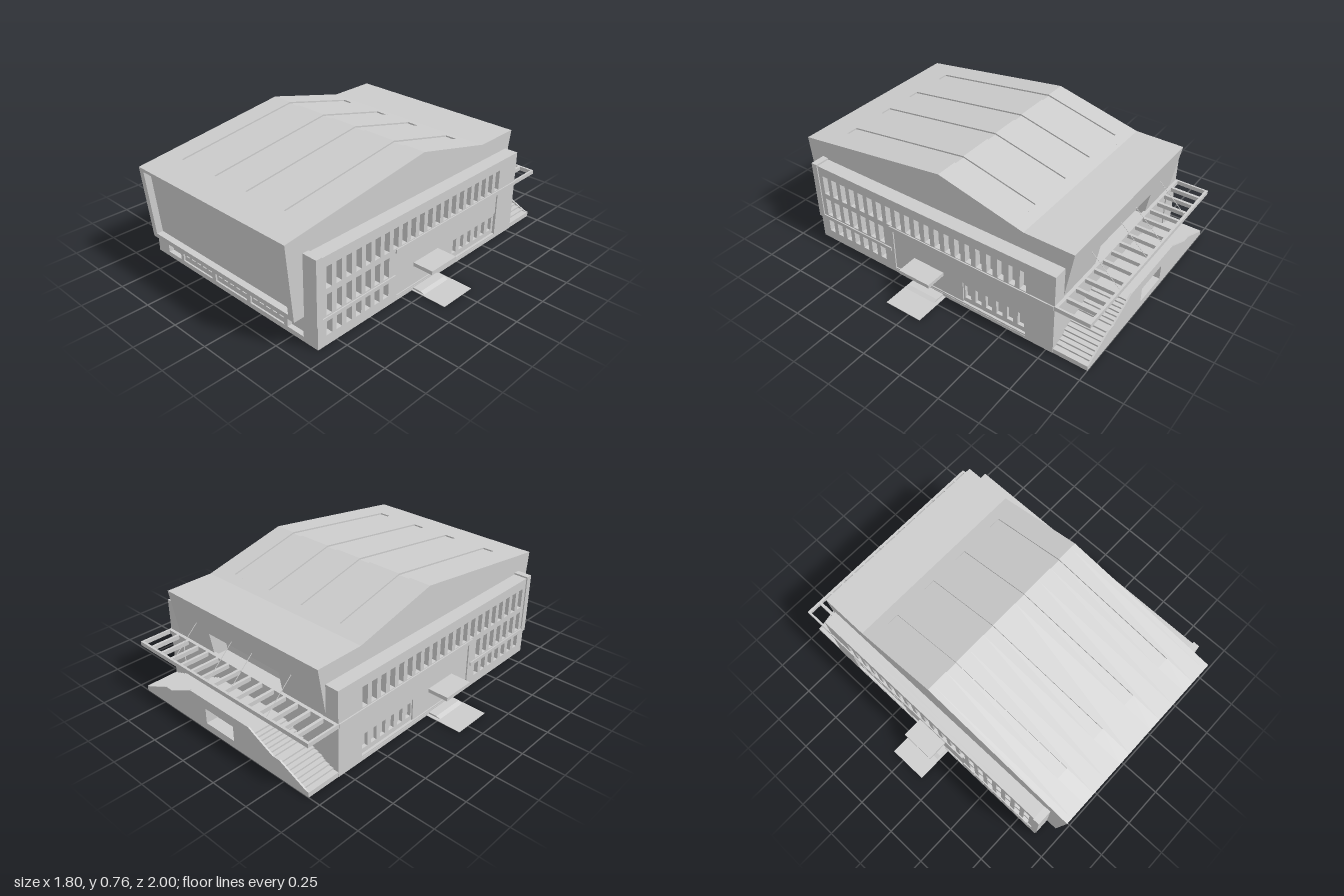
import * as THREE from 'three';

export function createModel() {
  const model = new THREE.Group();
  const mat = new THREE.MeshStandardMaterial({ color: 0xcccccc, flatShading: true });

  const add = (name, geometry) => {
    const mesh = new THREE.Mesh(geometry, mat);
    mesh.name = name;
    model.add(mesh);
    return mesh;
  };
  // Box given by its limits on each axis
  const box = (name, x0, x1, y0, y1, z0, z1) => {
    const mesh = add(name, new THREE.BoxGeometry(x1 - x0, y1 - y0, z1 - z0));
    mesh.position.set((x0 + x1) / 2, (y0 + y1) / 2, (z0 + z1) / 2);
    return mesh;
  };
  const mirrorBox = (name, x0, x1, ...rest) => {
    box(name, x0, x1, ...rest);
    box(name, -x1, -x0, ...rest);
  };
  const rect = (x0, x1, y0, y1) =>
    [[x0, y0], [x1, y0], [x1, y1], [x0, y1]].map(p => new THREE.Vector2(...p));
  const extrude = (points, depth, holes = []) => {
    const shape = new THREE.Shape(points.map(p => p.isVector2 ? p : new THREE.Vector2(...p)));
    holes.forEach(h => shape.holes.push(new THREE.Path(h)));
    return new THREE.ExtrudeGeometry(shape, { depth, bevelEnabled: false });
  };
  // Extrusion of a (z, y) outline running between two x values
  const extrudeX = (name, points, x0, x1, holes) => {
    const mesh = add(name, extrude(points, x1 - x0, holes));
    mesh.rotation.y = -Math.PI / 2;
    mesh.position.x = x1;
  };
  const row = (start, count, pitch, width, y0, y1) =>
    Array.from({ length: count }, (_, i) => rect(start + i * pitch, start + i * pitch + width, y0, y1));

  // Base and cores behind the walls
  box('groundSlab', -0.675, 0.675, 0, 0.03, -1, 0.88);
  box('baseCore', -0.64, 0.64, 0.02, 0.31, -0.785, 0.85);
  mirrorBox('galleryCore', 0.5, 0.64, 0.16, 0.51, -0.785, 0.84);

  // Main hall, in slices across x: roof grooves, recessed front, back window notch
  const grooves = [[-0.455, -0.38], [-0.165, -0.09], [0.09, 0.165], [0.38, 0.455]];
  const half = [0.09, 0.165, 0.28, 0.38, 0.455, 0.555, 0.592];
  const cuts = [...half.map(x => -x).reverse(), ...half];
  const roofY = z => 0.757 - (z > 0 ? z * 0.137 : -z * 0.244);
  const frontZ = y => 0.957 + (y - 0.165) * 0.0945;
  for (let i = 0; i < cuts.length - 1; i++) {
    const x0 = cuts[i], x1 = cuts[i + 1], mid = (x0 + x1) / 2;
    const p = [[0.957, 0.165]];
    if (Math.abs(mid) < 0.555) {
      p.push([frontZ(0.195), 0.195], [frontZ(0.195) - 0.04, 0.195], [frontZ(0.6) - 0.04, 0.6], [frontZ(0.6), 0.6]);
    }
    p.push([1, 0.62]);
    if (grooves.some(g => mid > g[0] && mid < g[1])) {
      const d = 0.009;
      p.push([0.81, roofY(0.81)], [0.81, roofY(0.81) - d], [0, 0.757 - d],
        [-0.47, roofY(-0.47) - d], [-0.47, roofY(-0.47)]);
    } else p.push([0, 0.757]);
    p.push([-0.54, 0.625], [-0.84, 0.625]);
    if (Math.abs(mid) < 0.28) p.push([-0.812, 0.46], [-0.7, 0.46], [-0.7, 0.31]);
    else p.push([-0.79, 0.33]);
    p.push([-0.7, 0.165]);
    extrudeX('hall', p, x0, x1);
  }

  // Side walls: an outer skin over an inner skin, both pierced by the windows
  const windows = [
    ...row(-0.62, 21, 0.07, 0.04, 0.335, 0.46),
    ...row(0.36, 7, 0.07, 0.04, 0.18, 0.3),
    ...row(0.36, 7, 0.07, 0.04, 0.06, 0.148),
  ];
  const bay = row(-0.6, 6, 0.07, 0.04, 0.06, 0.148);
  const wall = rect(-0.79, 0.88, 0, 0.52);
  const panel = rect(-0.62, 0.29, 0.02, 0.3);
  const bayFrame = rect(-0.62, -0.2, 0.022, 0.168);
  for (const s of [-1, 1]) {
    const layer = (name, a, b, outline, holes) =>
      extrudeX(name, outline, Math.min(s * a, s * b), Math.max(s * a, s * b), holes);
    layer('sideWallOuter', 0.669, 0.677, wall, [...windows, panel]);
    layer('sideWallPanel', 0.661, 0.669, wall, [...windows, bayFrame]);
    layer('sideWallInner', 0.635, 0.661, wall, [...windows, ...bay]);
  }
  mirrorBox('galleryRoof', 0.58, 0.677, 0.5, 0.52, -0.79, 0.85);
  mirrorBox('galleryBackWall', 0.57, 0.677, 0.02, 0.52, -0.792, -0.77);
  mirrorBox('frontFin', 0.58, 0.684, 0.15, 0.53, 0.85, 0.89);
  mirrorBox('lowerSideBeam', 0.66, 0.684, 0.15, 0.172, 0.31, 0.87);
  mirrorBox('upperSideBand', 0.66, 0.684, 0.305, 0.33, -0.79, 0.31);
  box('frontOverhang', -0.67, 0.67, 0.148, 0.167, 0.82, 0.885);

  // Front ground floor
  const frontHoles = [rect(-0.575, -0.455, 0.02, 0.13), rect(0.455, 0.575, 0.02, 0.13)];
  const frames = [];
  for (const x of [-0.43, -0.133, 0.164]) {
    frames.push(rect(x, x + 0.266, 0.015, 0.145));
    frontHoles.push(...row(x + 0.012, 5, 0.052, 0.034, 0.06, 0.145));
  }
  add('frontWallInner', extrude(rect(-0.67, 0.67, 0, 0.15), 0.03, frontHoles)).position.z = 0.84;
  add('frontWallOuter', extrude(rect(-0.67, 0.67, 0, 0.15), 0.01, [...frontHoles.slice(0, 2), ...frames])).position.z = 0.87;

  // Side entrances: canopy, step with sloped edge, paved apron
  mirrorBox('entranceCanopy', 0.65, 0.797, 0.147, 0.17, -0.065, 0.145);
  mirrorBox('paving', 0.66, 0.902, 0, 0.003, -0.08, 0.16);
  for (const s of [-1, 1]) {
    const step = [[0.66, 0.002], [0.757, 0.002], [0.73, 0.013], [0.66, 0.013]].map(([x, y]) => [s * x, y]);
    add('entranceStep', extrude(step, 0.21)).position.z = -0.06;
  }

  // Back terrace: central landing with two flights of stairs down to each side
  const stairs = [];
  const flight = (x0, x1, y0, y1, n) => {
    for (let i = 0; i < n; i++) {
      const x = x0 + (x1 - x0) * i / (n - 1);
      stairs.push([x, y0 + (y1 - y0) * i / n], [x, y0 + (y1 - y0) * (i + 1) / n]);
    }
  };
  flight(0.27, 0.42, 0.17, 0.1, 7);
  flight(0.47, 0.64, 0.1, 0.03, 7);
  const mirrored = pts => [...pts, ...pts.map(([x, y]) => [-x, y]).reverse()];
  const stairOutline = mirrored([...stairs, [0.64, 0.01]]);
  const niche = rect(-0.115, 0.115, 0.045, 0.14);
  add('stairs', extrude(stairOutline, 0.14)).position.z = -0.925;
  add('stairsFront', extrude(stairOutline, 0.067, [niche])).position.z = -0.992;
  const parapet = mirrored([[0.24, 0.2], [0.28, 0.18], [0.42, 0.115], [0.47, 0.115], [0.65, 0.035], [0.675, 0.03], [0.675, 0]]);
  add('backParapet', extrude(parapet, 0.01, [niche])).position.z = -1;

  // Pergola over the terrace with its slots and tie rods
  const slots = row(-0.668, 15, 0.0902, 0.073, -0.985, -0.81);
  const pergola = add('pergola', extrude(rect(-0.68, 0.68, -1, -0.78), 0.025, slots));
  pergola.rotation.x = Math.PI / 2;
  pergola.position.y = 0.33;
  for (const x of [-0.38, -0.085, 0.08, 0.38]) {
    const path = new THREE.LineCurve3(new THREE.Vector3(x, 0.5, -0.81), new THREE.Vector3(x, 0.328, -0.993));
    add('tieRod', new THREE.TubeGeometry(path, 1, 0.002, 5));
  }
  return model;
}
